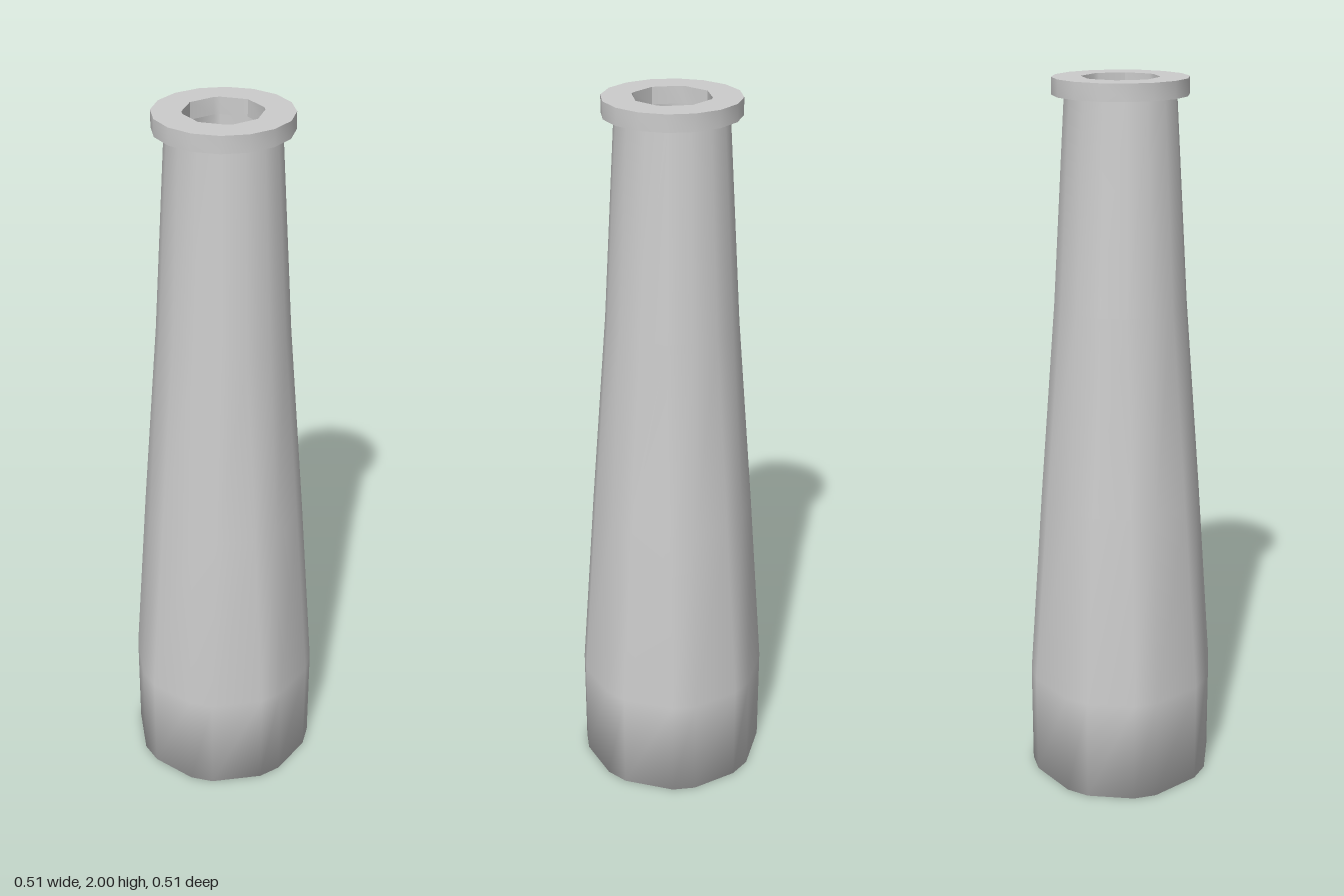
import * as THREE from 'three';
import { toCreasedNormals } from 'three/addons/utils/BufferGeometryUtils.js';

const material = new THREE.MeshStandardMaterial({ color: 0xcccccc });

// Repeats one quadrant of angles (degrees) around the full circle.
function fullCircle(quadrant) {
  return [0, 90, 180, 270].flatMap((turn) =>
    quadrant.map((a) => THREE.MathUtils.degToRad(a + turn)));
}

// Skins rings { y, r, angles }; rings going up face outward, going down face inward.
// The first (or last) ring is closed with a cap sharing its vertices.
function loft(rings, capLast) {
  const n = rings[0].angles.length;
  const pos = [];
  const index = [];
  for (const { y, r, angles } of rings) {
    for (const a of angles) pos.push(r * Math.cos(a), y, r * Math.sin(a));
  }
  for (let i = 0; i < rings.length - 1; i++) {
    for (let j = 0; j < n; j++) {
      const a = i * n + j, b = i * n + ((j + 1) % n);
      index.push(a, a + n, b, b, a + n, b + n);
    }
  }
  const start = capLast ? (rings.length - 1) * n : 0;
  const center = rings.length * n;
  pos.push(0, rings[capLast ? rings.length - 1 : 0].y, 0);
  for (let j = 0; j < n; j++) {
    const a = start + j, b = start + ((j + 1) % n);
    if (capLast) index.push(center, b, a);
    else index.push(center, a, b);
  }
  const geometry = new THREE.BufferGeometry();
  geometry.setAttribute('position', new THREE.Float32BufferAttribute(pos, 3));
  geometry.setIndex(index);
  geometry.computeVertexNormals();
  return geometry;
}

const outline = (r, angles) =>
  angles.map((a) => new THREE.Vector2(r * Math.cos(a), r * Math.sin(a)));

export function createModel() {
  const group = new THREE.Group();
  const add = (name, geometry) => {
    const mesh = new THREE.Mesh(geometry, material);
    mesh.name = name;
    group.add(mesh);
  };

  const rimBottom = 1.955;
  const rimAngles = fullCircle([11.25, 33.75, 56.25, 78.75]);
  const holeAngles = fullCircle([0, 40.3, 49.7]);

  // Tapering body: softened square at the base, even sixteen sides at the neck
  const profile = [[0, 0.2655], [0.3, 0.2655], [0.85, 0.225], [1.4, 0.181], [rimBottom, 0.148]];
  add('body', loft(profile.map(([y, r]) => {
    const t = THREE.MathUtils.clamp((0.2655 - r) / 0.085, 0, 1);
    const a = THREE.MathUtils.lerp(14.6, 11.25, t);
    const b = THREE.MathUtils.lerp(28.9, 33.75, t);
    return { y, r, angles: fullCircle([a, b, 90 - b, 90 - a]) };
  }), false));

  // Flat collar with the opening cut through it
  const shape = new THREE.Shape(outline(0.1805, rimAngles));
  shape.holes.push(new THREE.Path(outline(0.1035, holeAngles)));
  const collar = new THREE.ExtrudeGeometry(shape, { depth: 2 - rimBottom, bevelEnabled: false });
  collar.rotateX(-Math.PI / 2).translate(0, rimBottom, 0);
  add('collar', toCreasedNormals(collar, Math.PI / 5));

  // Inside of the opening, closed by a rounded floor
  const well = [[rimBottom, 0.1035], [1.65, 0.1], [1.58, 0.075], [1.55, 0.035]];
  add('innerWell', loft(well.map(([y, r]) => ({ y, r, angles: holeAngles })), true));

  return group;
}
